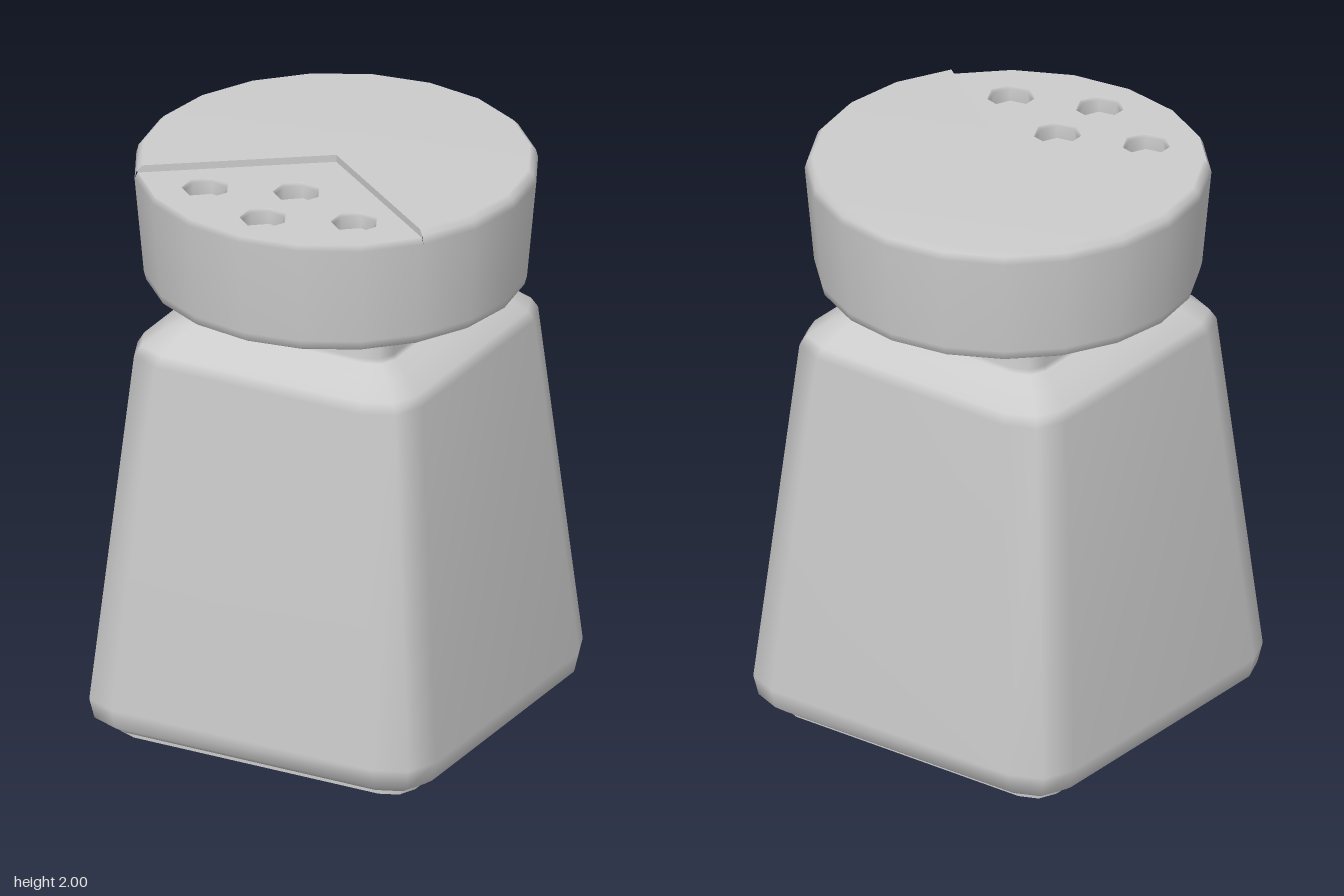
import * as THREE from 'three';

const grey = new THREE.MeshStandardMaterial({ color: 0xcccccc });
const greyThin = new THREE.MeshStandardMaterial({ color: 0xcccccc, side: THREE.DoubleSide });

function add(parent, name, geometry, material = grey) {
  const mesh = new THREE.Mesh(geometry, material);
  mesh.name = name;
  parent.add(mesh);
  return mesh;
}

// Skin through rounded-square rings, each given as [halfWidth, cornerRadius, y]
function loftSquare(rings) {
  const pos = [], index = [], n = 12;
  for (const [half, radius, y] of rings) {
    for (let corner = 0; corner < 4; corner++) {
      const mid = (corner + 0.5) * Math.PI / 2;
      const cx = Math.sign(Math.cos(mid)) * (half - radius);
      const cz = Math.sign(Math.sin(mid)) * (half - radius);
      for (let k = 0; k < 3; k++) {
        const a = corner * Math.PI / 2 + k * Math.PI / 4;
        pos.push(cx + radius * Math.cos(a), y, cz + radius * Math.sin(a));
      }
    }
  }
  for (let i = 0; i < rings.length - 1; i++) {
    for (let j = 0; j < n; j++) {
      const a = i * n + j, b = i * n + (j + 1) % n, c = a + n, d = b + n;
      index.push(a, c, b, b, c, d);
    }
  }
  const g = new THREE.BufferGeometry();
  g.setAttribute('position', new THREE.Float32BufferAttribute(pos, 3));
  g.setIndex(index);
  g.computeVertexNormals();
  return g;
}

const profile = (pts) => pts.map(([x, y]) => new THREE.Vector2(x, y));

export function createModel() {
  const model = new THREE.Group();
  model.name = 'shaker';

  // Jar: tapered square body on a small hollow foot
  const jar = new THREE.Group();
  jar.name = 'jar';
  jar.position.set(-0.005, 0, -0.007);
  model.add(jar);
  add(jar, 'baseRecessFloor', loftSquare([[0.001, 0.0005, 0.05], [0.49, 0.06, 0.05]]));
  add(jar, 'baseRecessWall', loftSquare([[0.49, 0.06, 0.05], [0.51, 0.07, 0]]));
  add(jar, 'footRim', loftSquare([[0.51, 0.07, 0], [0.55, 0.09, 0]]));
  add(jar, 'foot', loftSquare([[0.55, 0.09, 0], [0.55, 0.09, 0.03]]));
  add(jar, 'body', loftSquare([
    [0.55, 0.09, 0.025], [0.59, 0.12, 0.032], [0.628, 0.14, 0.06], [0.645, 0.155, 0.13],
    [0.535, 0.15, 1.355], [0.515, 0.14, 1.39], [0.45, 0.11, 1.44], [0.395, 0.08, 1.47],
  ]));
  add(jar, 'neck', loftSquare([[0.395, 0.08, 1.47], [0.383, 0.08, 1.48], [0.383, 0.08, 1.59]]));

  // Cap: a 20-sided drum with a 108 degree sunken wedge at the front
  const cap = new THREE.Group();
  cap.name = 'cap';
  model.add(cap);
  const step = Math.PI / 10, half = 3 * step, floorY = 1.975, floorR = 0.661;
  const side = [[0, 1.575], [0.615, 1.575], [0.632, 1.585], [0.64, 1.615], [0.671, 1.955]];
  add(cap, 'capDrum', new THREE.LatheGeometry(
    profile([...side, [0.663, 1.982], [0.645, 2], [0, 2]]), 14, half, 14 * step));
  add(cap, 'capFront', new THREE.LatheGeometry(profile([...side, [floorR, floorY]]), 6, -half, 2 * half));

  // Step walls on both straight edges of the wedge
  for (const s of [-1, 1]) {
    const wall = new THREE.ShapeGeometry(new THREE.Shape(
      profile([[0, floorY], [floorR, floorY], [0.663, 1.982], [0.645, 2], [0, 2]])));
    wall.rotateY(s * half - Math.PI / 2);
    add(cap, 'wedgeWall', wall, greyThin);
  }

  // Wedge floor pierced by four seven-sided holes
  const outline = [[0, 0]];
  for (let i = -3; i <= 3; i++) {
    outline.push([floorR * Math.sin(i * step), -floorR * Math.cos(i * step)]);
  }
  const floor = new THREE.Shape(profile(outline));
  const holeR = 0.08;
  for (const [x, z] of [[-0.28, 0.385], [0, 0.27], [0, 0.5], [0.28, 0.385]]) {
    const ring = [];
    for (let i = 0; i < 7; i++) {
      const a = i * Math.PI * 2 / 7;
      ring.push([x + holeR * Math.cos(a), -z + holeR * Math.sin(a)]);
    }
    floor.holes.push(new THREE.Path(profile(ring)));
    const cup = (pts) => new THREE.LatheGeometry(profile(pts), 7, Math.PI / 2);
    const wall = add(cap, 'holeWall', cup([[0.073, 1.92], [0.073, 1.965], [holeR, floorY]]), greyThin);
    const bottom = add(cap, 'holeBottom', cup([[0.073, 1.92], [0, 1.92]]));
    wall.position.set(x, 0, z);
    bottom.position.set(x, 0, z);
  }
  const floorGeometry = new THREE.ShapeGeometry(floor);
  floorGeometry.rotateX(-Math.PI / 2);
  add(cap, 'wedgeFloor', floorGeometry).position.y = floorY;

  return model;
}
